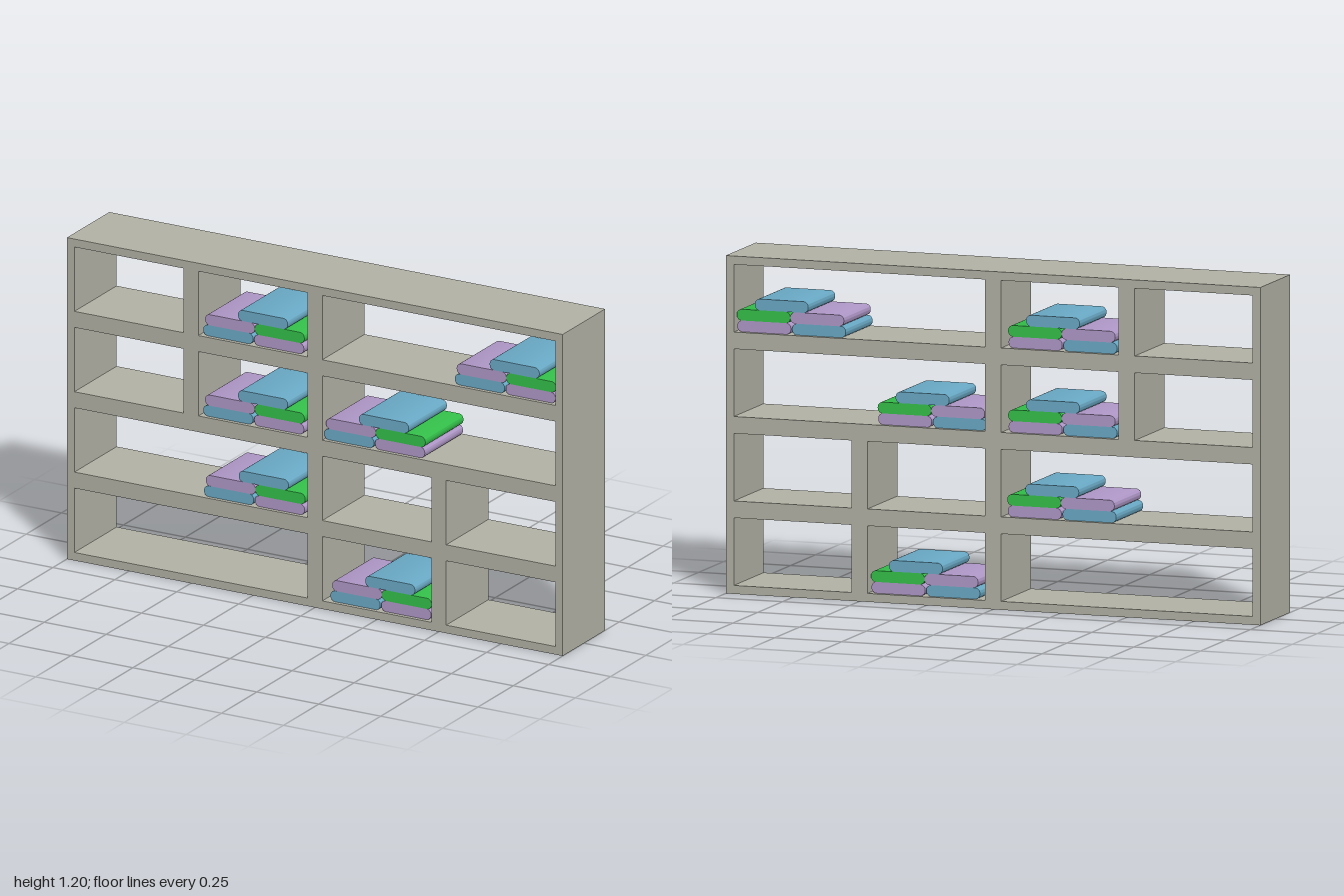
import * as THREE from 'three';
import { toCreasedNormals } from 'three/addons/utils/BufferGeometryUtils.js';

const material = (color) => new THREE.MeshStandardMaterial({ color });

// Rectangle outline given by its corners
function rectangle(path, x0, y0, x1, y1) {
  path.moveTo(x0, y0);
  path.lineTo(x1, y0);
  path.lineTo(x1, y1);
  path.lineTo(x0, y1);
  path.closePath();
  return path;
}

// Extrude a shape along z, centred on z = 0
function slab(shape, depth) {
  const geometry = new THREE.ExtrudeGeometry(shape, { depth, bevelEnabled: false, curveSegments: 6 });
  geometry.translate(0, 0, -depth / 2);
  return geometry;
}

// Open-backed shelf: four rows of compartments cut through one block
function createShelf() {
  const shape = rectangle(new THREE.Shape(), -1, 0, 1, 1.2);
  const lowerRow = [[-0.97, -0.03], [0.03, 0.47], [0.53, 0.97]];
  const upperRow = [[-0.97, -0.53], [-0.47, -0.03], [0.03, 0.97]];
  for (let row = 0; row < 4; row++) {
    const y = 0.03 + row * 0.3;
    for (const [x0, x1] of row < 2 ? lowerRow : upperRow) {
      shape.holes.push(rectangle(new THREE.Path(), x0, y, x1, y + 0.24));
    }
  }
  const shelf = new THREE.Mesh(slab(shape, 0.3), material(0xb2b2a6));
  shelf.name = 'shelfFrame';
  return shelf;
}

// Lying book with rounded long edges, origin at its lower left
function createBookGeometry() {
  const w = 0.2, h = 0.04, r = 0.018;
  const shape = new THREE.Shape();
  shape.absarc(w - r, r, r, -Math.PI / 2, 0);
  shape.absarc(w - r, h - r, r, 0, Math.PI / 2);
  shape.absarc(r, h - r, r, Math.PI / 2, Math.PI);
  shape.absarc(r, r, r, Math.PI, Math.PI * 1.5);
  return toCreasedNormals(slab(shape, 0.27), 0.6);
}

export function createModel() {
  const model = new THREE.Group();
  model.name = 'bookshelf';
  model.add(createShelf());

  const bookGeometry = createBookGeometry();
  const blue = material(0x6aaac6);
  const purple = material(0xb098c8);
  const green = material(0x34c04a);

  // Books of one stack: name, x offset, layer, material
  const books = [
    ['lowerLeftBook', 0, 0, blue],
    ['lowerRightBook', 0.205, 0, purple],
    ['middleLeftBook', 0.007, 1, purple],
    ['middleRightBook', 0.207, 1, green],
    ['topBook', 0.14, 2, blue],
  ];

  // Stacks: left edge and row
  const stacks = [[0.055, 0], [-0.455, 1], [-0.458, 2], [0.03, 2], [-0.458, 3], [0.557, 3]];
  for (const [x, row] of stacks) {
    const stack = new THREE.Group();
    stack.name = 'bookStack';
    stack.position.set(x, 0.03 + row * 0.3, 0);
    for (const [name, dx, layer, mat] of books) {
      const book = new THREE.Mesh(bookGeometry, mat);
      book.name = name;
      book.position.set(dx, layer * 0.04, 0);
      stack.add(book);
    }
    model.add(stack);
  }
  return model;
}
